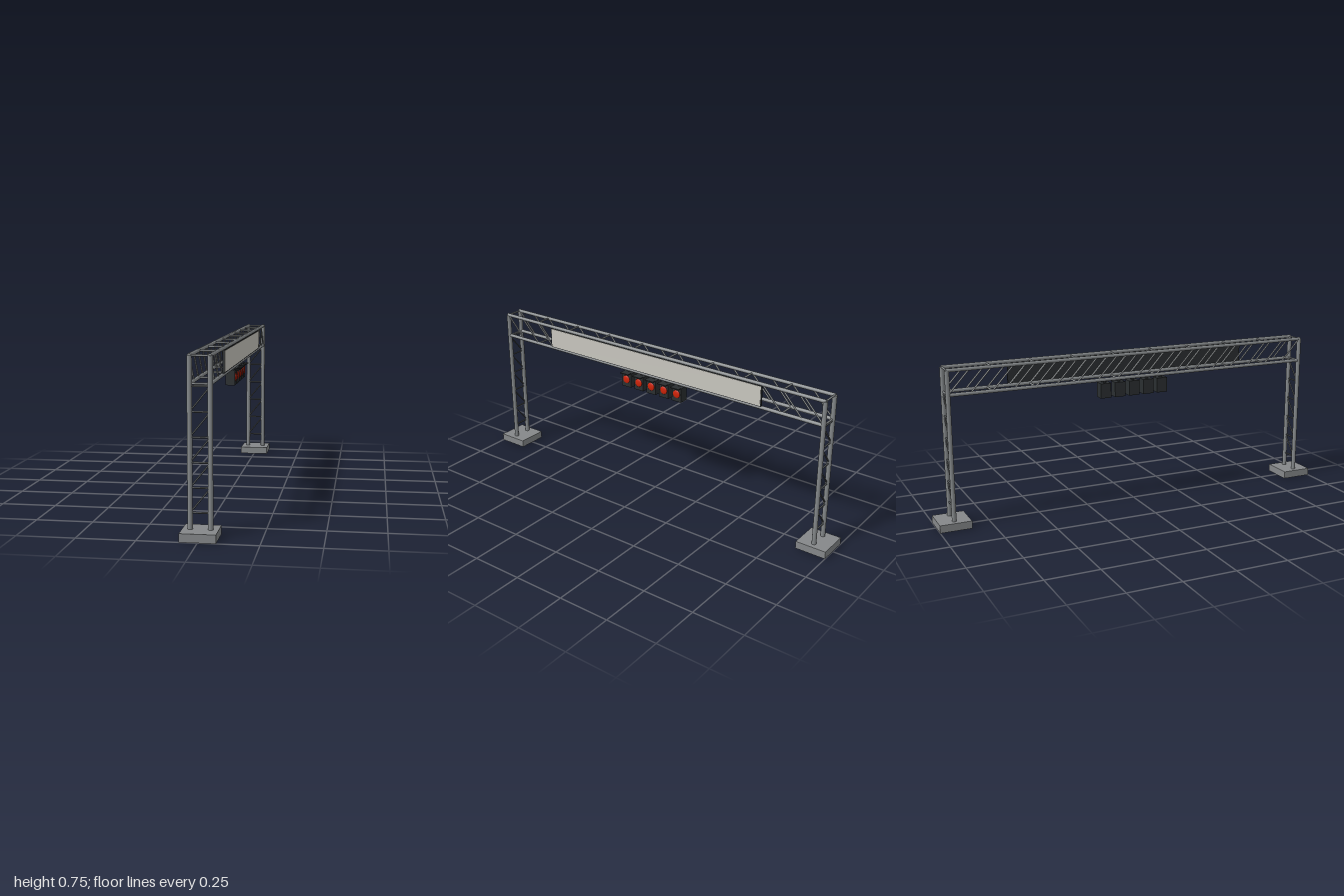
import * as THREE from 'three';

const mat = (name, color) => {
  const m = new THREE.MeshStandardMaterial({ color });
  m.name = name;
  return m;
};

export function createModel() {
  const steel = mat('steel', 0x85898b);
  const brace = mat('darkSteel', 0x55595b);
  const concrete = mat('concrete', 0x85888a);
  const black = mat('blackHousing', 0x2b2f31);
  const panel = mat('signPanel', 0xc9c7bf);
  const red = mat('redLens', 0xd02408);

  const model = new THREE.Group();
  model.name = 'gantry';
  const group = (name) => {
    const g = new THREE.Group();
    g.name = name;
    model.add(g);
    return g;
  };
  const add = (parent, name, geometry, material, x = 0, y = 0, z = 0) => {
    const mesh = new THREE.Mesh(geometry, material);
    mesh.name = name;
    mesh.position.set(x, y, z);
    parent.add(mesh);
    return mesh;
  };
  const box = (parent, name, w, h, d, material, x, y, z) =>
    add(parent, name, new THREE.BoxGeometry(w, h, d), material, x, y, z);
  // Round bar between two points
  const bar = (parent, name, a, b, r, material, sides = 8) => {
    const from = new THREE.Vector3(...a);
    const dir = new THREE.Vector3(...b).sub(from);
    const mesh = add(parent, name, new THREE.CylinderGeometry(r, r, dir.length(), sides), material);
    mesh.position.copy(from).addScaledVector(dir, 0.5);
    mesh.quaternion.setFromUnitVectors(new THREE.Vector3(0, 1, 0), dir.normalize());
    return mesh;
  };

  const X = 0.042, Z = 0.925, TOP = 0.739, LOW = 0.627;

  // Towers: footing, two posts, ladder bracing
  for (const s of [-1, 1]) {
    const z = s * Z;
    const tower = group(s > 0 ? 'frontTower' : 'backTower');
    box(tower, 'footing', 0.15, 0.036, 0.15, concrete, 0, 0.018, z);
    for (const x of [-X, X]) bar(tower, 'post', [x, 0.036, z], [x, TOP, z], 0.0108, steel, 16);
    for (let i = 0; i < 6; i++) {
      const y = 0.104 + i * 0.1027;
      bar(tower, 'rung', [-X, y, z], [X, y, z], 0.004, brace);
      if (i < 5) bar(tower, 'diagonal', [-X, y, z], [X, y + 0.1027, z], 0.0035, brace);
    }
  }

  // Beam: four chords, cross rungs and side diagonals
  const beam = group('trussBeam');
  for (const y of [LOW, TOP]) {
    for (const x of [-X, X]) bar(beam, 'chord', [x, y, -Z - 0.004], [x, y, Z + 0.004], 0.0085, steel, 12);
    for (let i = 0; i < 10; i++) {
      const z = -Z + (i * 2 * Z) / 9;
      bar(beam, 'crossRung', [-X, y, z], [X, y, z], 0.0045, steel);
    }
  }
  for (const x of [-X, X]) {
    for (let i = 0; i < 18; i++) {
      const z = Z - (i * Z) / 9;
      bar(beam, 'sideDiagonal', [x, TOP, z], [x, LOW, z - Z / 9], 0.004, steel);
    }
  }

  // Long sign: dark backing with a pale face
  const sign = group('sign');
  box(sign, 'signBacking', 0.008, 0.1, 1.24, black, 0.0475, 0.684, 0);
  box(sign, 'signFace', 0.002, 0.094, 1.232, panel, 0.0522, 0.684, 0);

  // Row of signal lamps hung below the beam
  const lamps = group('signalLamps');
  box(lamps, 'hangerBar', 0.012, 0.01, 0.38, black, 0.008, 0.616, 0);
  for (const z of [-0.15, -0.075, 0, 0.075, 0.15]) {
    box(lamps, 'lampHousing', 0.046, 0.072, 0.054, black, 0.011, 0.564, z);
    box(lamps, 'lampBracket', 0.01, 0.014, 0.012, black, 0.008, 0.606, z);
    box(lamps, 'lampVisor', 0.022, 0.004, 0.05, black, 0.042, 0.6, z);
    const lens = add(lamps, 'lens', new THREE.SphereGeometry(0.02, 20, 12), red, 0.034, 0.566, z);
    lens.scale.x = 0.25;
  }
  return model;
}
